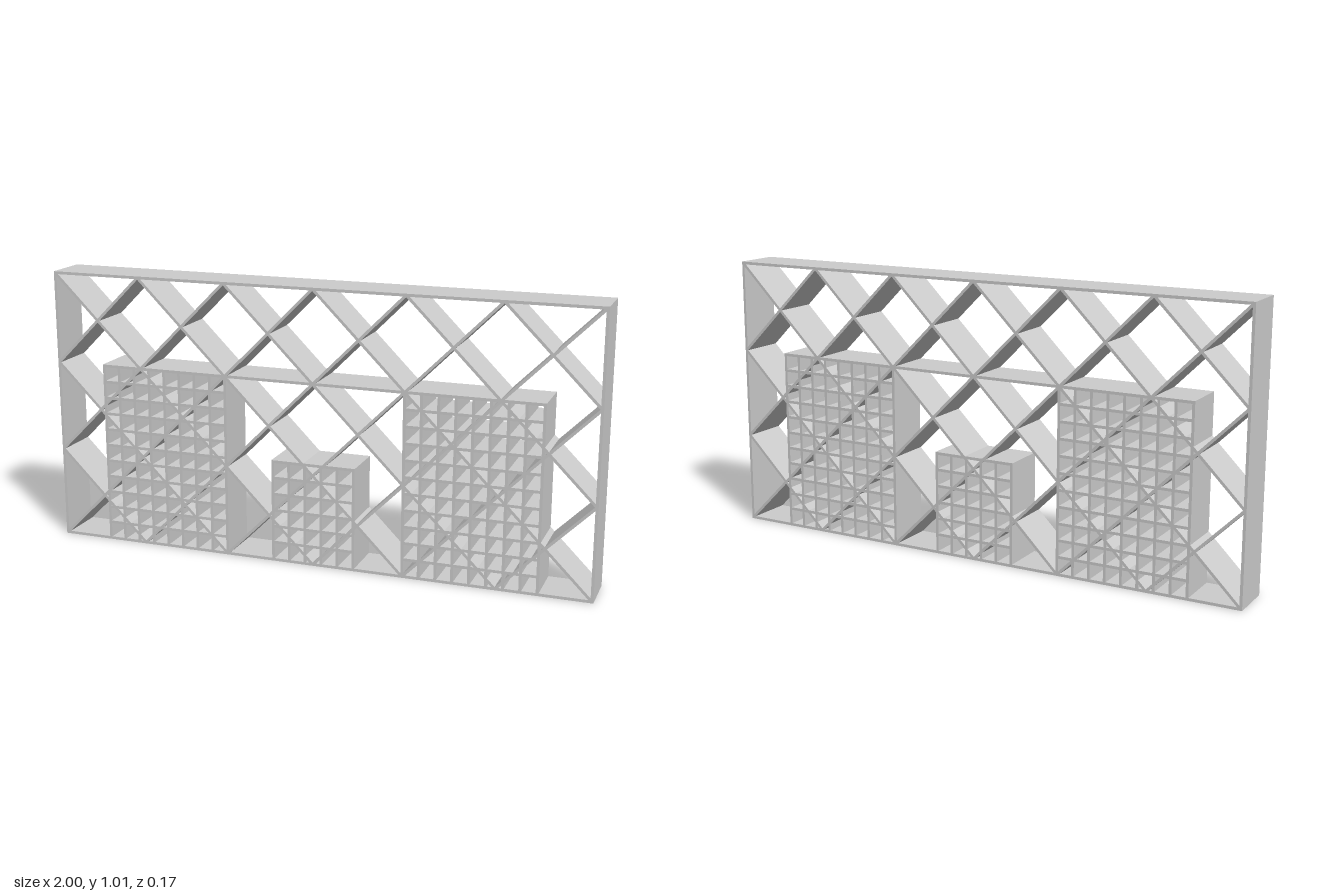
import * as THREE from 'three';

const T = 0.01;        // slat thickness
const DEPTH = 0.168;   // every slat runs the full depth
const S = 0.3317;      // lattice module
const BASE = T / 2;    // centre line of the bottom slat
const HALF = 3 * S, TOP = BASE + 3 * S;

export function createModel() {
  const model = new THREE.Group();
  const material = new THREE.MeshStandardMaterial({ color: 0xcccccc, flatShading: true });

  // One slat between two points of the front plane
  function slat(parent, name, x1, y1, x2, y2, extra = 0) {
    const length = Math.hypot(x2 - x1, y2 - y1) + extra;
    const mesh = new THREE.Mesh(new THREE.BoxGeometry(length, T, DEPTH), material);
    mesh.position.set((x1 + x2) / 2, (y1 + y2) / 2, 0);
    mesh.rotation.z = Math.atan2(y2 - y1, x2 - x1);
    mesh.name = name;
    parent.add(mesh);
  }

  function group(name) {
    const g = new THREE.Group();
    g.name = name;
    model.add(g);
    return g;
  }

  // Outer frame
  const frame = group('frame');
  slat(frame, 'frameBottom', -HALF, BASE, HALF, BASE, T);
  slat(frame, 'frameTop', -HALF, TOP, HALF, TOP, T);
  for (const [side, x] of [['Left', HALF], ['Right', -HALF]])
    slat(frame, 'frame' + side, x, BASE, x, TOP, T);

  // Diagonal lattice, clipped to the frame and mirrored
  const lattice = group('diagonalLattice');
  for (let k = -5; k <= 2; k++) {
    const a = Math.max(k, -3), b = Math.min(k + 3, 3);
    for (const m of [1, -1])
      slat(lattice, 'diagonalSlat', m * a * S, BASE + (a - k) * S, m * b * S, BASE + (b - k) * S);
  }

  // Shelf joining the two tall panels
  const shelfY = BASE + 2 * S;
  slat(model, 'shelf', -S, shelfY, S, shelfY);

  // Rectangular grid panel, with rows counted down from its top
  function gridPanel(name, x0, x1, top, columns, rows, step) {
    const panel = group(name);
    for (let i = 0; i <= columns; i++) {
      const x = x0 + (x1 - x0) * i / columns;
      slat(panel, 'gridUpright', x, BASE, x, top, T);
    }
    for (let j = 0; j < rows; j++)
      slat(panel, 'gridRow', x0, top - j * step, x1, top - j * step, T);
  }
  gridPanel('leftPanel', S, 0.81, shelfY, 8, 11, 0.06);
  gridPanel('rightPanel', -0.81, -S, shelfY, 8, 11, 0.06);
  gridPanel('middlePanel', -0.151, 0.151, 0.374, 5, 6, 0.0605);

  return model;
}
